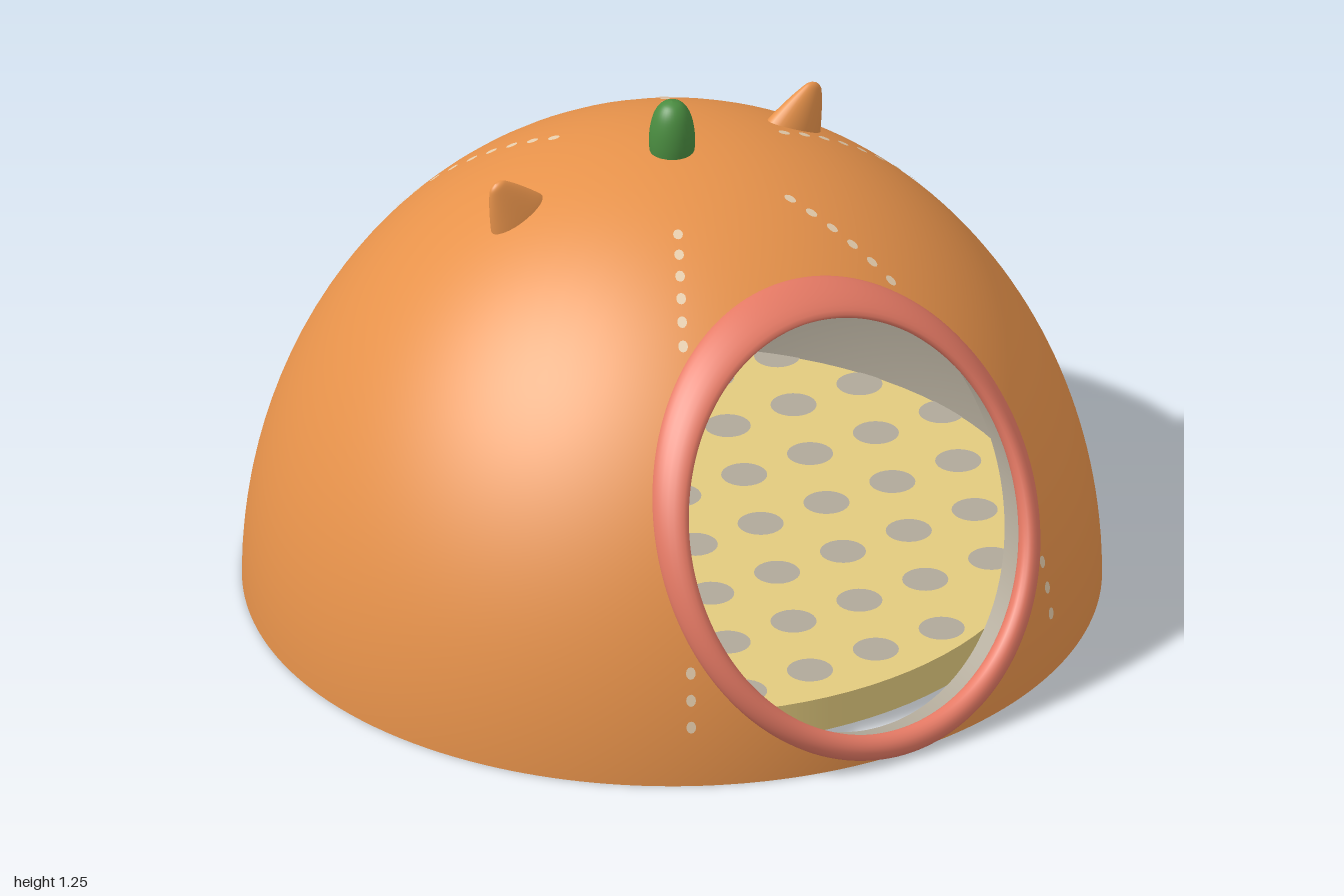
import * as THREE from 'three';

const mat = (name, color) => {
  const m = new THREE.MeshStandardMaterial({ color });
  m.name = name;
  return m;
};

// Main dimensions: half-ellipsoid shells and the round doorway cut along z
const ZC = -0.015;
const OUTER = { r: 0.985, h: 1.12 };
const INNER = { r: 0.9, h: 1.035 };
const DOOR = { y: 0.495, r: 0.465, tube: 0.03 };
const CUSHION = { r: 0.845, y: 0.0675, height: 0.085 };
const SEG = 192;

// Front surface of a shell above a given x, y
const frontZ = (s, x, y) =>
  ZC + s.r * Math.sqrt(Math.max(0, 1 - (x / s.r) ** 2 - (y / s.h) ** 2));

// Lofted grid, closed around its columns and optionally around its rows
function loft(rows, cols, point, { flip = false, closeRows = false } = {}) {
  const pos = [], idx = [];
  for (let i = 0; i < rows; i++)
    for (let j = 0; j < cols; j++) pos.push(...point(i, j));
  const last = closeRows ? rows : rows - 1;
  for (let i = 0; i < last; i++)
    for (let j = 0; j < cols; j++) {
      const k = (j + 1) % cols, n = (i + 1) % rows;
      const a = i * cols + j, b = i * cols + k, c = n * cols + j, d = n * cols + k;
      if (flip) idx.push(a, c, b, b, c, d);
      else idx.push(a, b, c, b, d, c);
    }
  const g = new THREE.BufferGeometry();
  g.setAttribute('position', new THREE.Float32BufferAttribute(pos, 3));
  g.setIndex(idx);
  g.computeVertexNormals();
  return g;
}

// Point on the doorway edge of a shell
function doorEdge(s, j) {
  const u = (j / SEG) * Math.PI * 2;
  const x = DOOR.r * Math.cos(u), y = DOOR.y - DOOR.r * Math.sin(u);
  return [x, y, frontZ(s, x, y)];
}

// Dome shell: rays in a stereographic disc run from the doorway edge to the base circle
function shell(s, flip) {
  const toDisc = ([x, y, z]) => {
    const k = 1 + y / s.h;
    return [x / s.r / k, (z - ZC) / s.r / k];
  };
  const cz = (toDisc(doorEdge(s, SEG / 4))[1] + toDisc(doorEdge(s, (SEG * 3) / 4))[1]) / 2;
  const rows = 40;
  return loft(rows, SEG, (i, j) => {
    const [ax, az] = toDisc(doorEdge(s, j));
    const len = Math.hypot(ax, az - cz), dx = ax / len, dz = (az - cz) / len;
    const reach = -cz * dz + Math.sqrt((cz * dz) ** 2 + 1 - cz * cz);
    const t = len + (reach - len) * (i / (rows - 1));
    const a = dx * t, b = cz + dz * t, q = a * a + b * b;
    return [(2 * a * s.r) / (1 + q), (s.h * (1 - q)) / (1 + q), ZC + (2 * b * s.r) / (1 + q)];
  }, { flip });
}

// Flat round spot, trimmed where it would overhang the cushion's edge
function spotGeometry(cx, cz) {
  const pts = [];
  for (let i = 0; i < 24; i++) {
    const a = (i / 24) * Math.PI * 2;
    const p = new THREE.Vector2(cx + 0.053 * Math.cos(a), cz + 0.053 * Math.sin(a));
    pts.push(p.clampLength(0, CUSHION.r - 0.002));
  }
  return new THREE.ShapeGeometry(new THREE.Shape(pts));
}

export function createModel() {
  const orange = mat('orange plush', 0xe8934b);
  const lining = mat('grey lining', 0xb0a898);
  const hem = mat('brown hem', 0xbf9c80);
  const pink = mat('pink trim', 0xe67a65);
  const green = mat('green stem', 0x4a8c40);
  const yellow = mat('yellow cushion', 0xe2ca7e);
  const spot = mat('grey spots', 0xb0a89a);
  const thread = mat('pale thread', 0xe8cfae);

  const model = new THREE.Group();
  const add = (name, geo, material, parent = model) => {
    const m = new THREE.Mesh(geo, material);
    m.name = name;
    parent.add(m);
    return m;
  };
  const group = (name) => {
    const g = new THREE.Group();
    g.name = name;
    model.add(g);
    return g;
  };

  // Dome walls
  add('domeOuter', shell(OUTER, false), orange);
  add('domeInner', shell(INNER, true), lining);
  add('doorReveal', loft(2, SEG, (i, j) => doorEdge(i ? INNER : OUTER, j), { flip: true }), lining);
  const base = add('baseEdge', new THREE.RingGeometry(INNER.r, OUTER.r, 128), hem);
  base.rotation.x = Math.PI / 2;
  base.position.z = ZC;

  // Padded trim hugging the dome around the doorway
  const tubeSides = 20;
  add('doorTrim', loft(tubeSides, SEG, (i, j) => {
    const u = (j / SEG) * Math.PI * 2, v = (i / tubeSides) * Math.PI * 2;
    const r = DOOR.r + DOOR.tube * Math.cos(v);
    const x = r * Math.cos(u), y = DOOR.y - r * Math.sin(u);
    const depth = 0.03 + 0.013 * y;
    return [x, y, frontZ(OUTER, x, y) + 0.012 * y + depth * Math.sin(v)];
  }, { flip: true, closeRows: true }), pink);

  // Cushion with staggered spots on both faces
  const cushion = add('cushion',
    new THREE.CylinderGeometry(CUSHION.r, CUSHION.r, CUSHION.height, 96), yellow);
  cushion.position.set(0, CUSHION.y, ZC);
  const spots = group('cushionSpots');
  for (let row = 0; row < 8; row++)
    for (let col = -6; col <= 6; col++) {
      const x = 0.097 + 0.179 * col + (row % 2) * 0.0895, z = 0.7 - row * 0.21 - ZC;
      if (Math.hypot(x, z) > 0.84) continue;
      for (const side of [1, -1]) {
        const d = add('spot', spotGeometry(x, -side * z), spot, spots);
        d.rotation.x = (-side * Math.PI) / 2;
        d.position.set(0, CUSHION.y + side * (CUSHION.height / 2 + 0.003), ZC);
      }
    }

  // Lines of small flat stitches down the dome, skipping the doorway
  const stitches = group('stitches');
  const stitchGeo = new THREE.CircleGeometry(0.0125, 12);
  stitchGeo.scale(0.9, 1.2, 1);
  const count = 20;
  for (const line of [0, 1, 2, 4, 5])
    for (let i = 0; i < count; i++) {
      const az = (line * Math.PI) / 3;
      const th = THREE.MathUtils.degToRad(18 + (64.3 * i) / (count - 1));
      const p = new THREE.Vector3(
        OUTER.r * Math.sin(th) * Math.cos(az),
        OUTER.h * Math.cos(th),
        OUTER.r * Math.sin(th) * Math.sin(az)
      );
      if (p.z > 0 && Math.hypot(p.x, p.y - DOOR.y) < DOOR.r + 0.03) continue;
      const n = new THREE.Vector3(p.x / OUTER.r ** 2, p.y / OUTER.h ** 2, p.z / OUTER.r ** 2).normalize();
      const s = add('stitch', stitchGeo, thread, stitches);
      s.position.copy(p).addScaledVector(n, 0.002);
      s.position.z += ZC;
      s.lookAt(s.position.clone().add(n));
    }

  // Lathe through a smooth profile
  const turned = (pts) => new THREE.LatheGeometry(
    new THREE.SplineCurve(pts.map(([x, y]) => new THREE.Vector2(x, y))).getPoints(24), 32);

  // Flattened, outward-leaning ears
  const earGeo = turned([[0.079, -0.03], [0.074, 0], [0.05, 0.055], [0.027, 0.098], [0.015, 0.112], [0, 0.117]]);
  earGeo.scale(1, 1, 0.56);
  for (const side of [1, -1]) {
    const ear = add(side > 0 ? 'leftEar' : 'rightEar', earGeo, orange);
    ear.position.set(side * 0.377, 1.025, -0.085);
    ear.rotation.z = -side * 0.53;
  }

  // Rounded stem on top
  const stem = add('stem', turned([[0.05, 0], [0.053, 0.04], [0.05, 0.08], [0.04, 0.115], [0.023, 0.137], [0, 0.145]]), green);
  stem.position.set(0, 1.1, ZC);

  return model;
}
